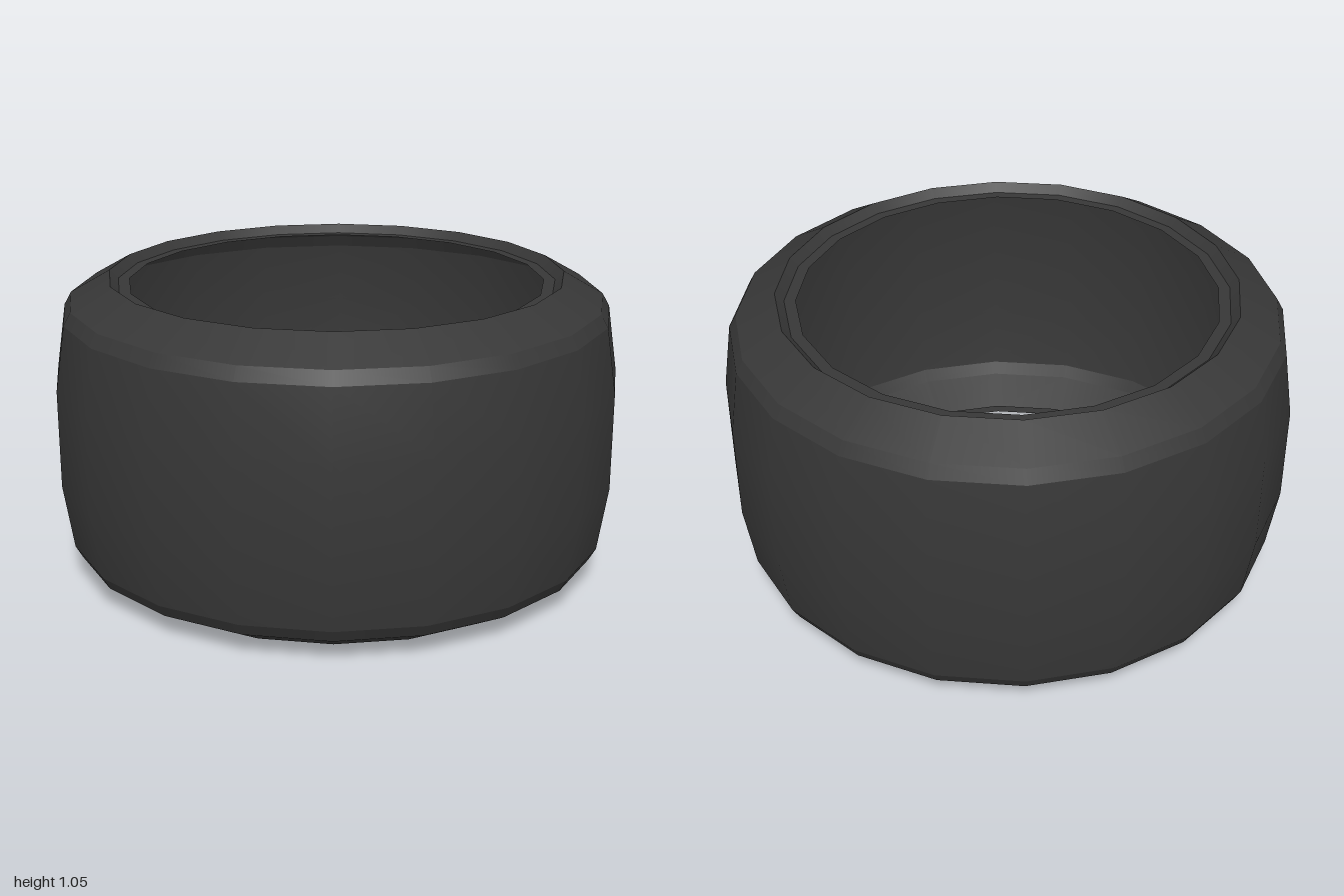
import * as THREE from 'three';
import { mergeGeometries } from 'three/addons/utils/BufferGeometryUtils.js';

const HEIGHT = 1.055;
const SIDES = 20;

// each strip is smooth in itself and meets its neighbours at a sharp edge;
// points are [radius, height], listed with the surface on the right-hand side
const lathe = (points) =>
  new THREE.LatheGeometry(points.map(([r, y]) => new THREE.Vector2(r, y)), SIDES);

// the same strip on the upper side, reversed so that it still faces outward
const mirror = (points) => points.map(([r, y]) => [r, HEIGHT - y]).reverse();

export function createModel() {
  // the tire is a hollow shell, open towards the hub
  const rubber = new THREE.MeshStandardMaterial({ color: 0x373737, side: THREE.DoubleSide });
  rubber.name = 'black rubber';

  const group = new THREE.Group();
  group.name = 'wheelTire';
  const add = (name, strips) => {
    const mesh = new THREE.Mesh(mergeGeometries(strips.map(lathe)), rubber);
    mesh.name = name;
    group.add(mesh);
  };

  // rounded running surface, also seen from the inside
  const treadHalf = [[0.965, 0.125], [1, 0.355]];
  add('tread', [[...treadHalf, ...mirror(treadHalf)]]);

  // sidewall, shoulder bevel, bead chamfer and bead ledge on both sides
  const side = [
    [[0.8, 0], [0.94, 0.08]],
    [[0.94, 0.08], [0.965, 0.125]],
    [[0.77, 0.03], [0.8, 0]],
    [[0.73, 0.03], [0.77, 0.03]],
  ];
  add('lowerSidewall', side);
  add('upperSidewall', side.map(mirror));

  return group;
}
